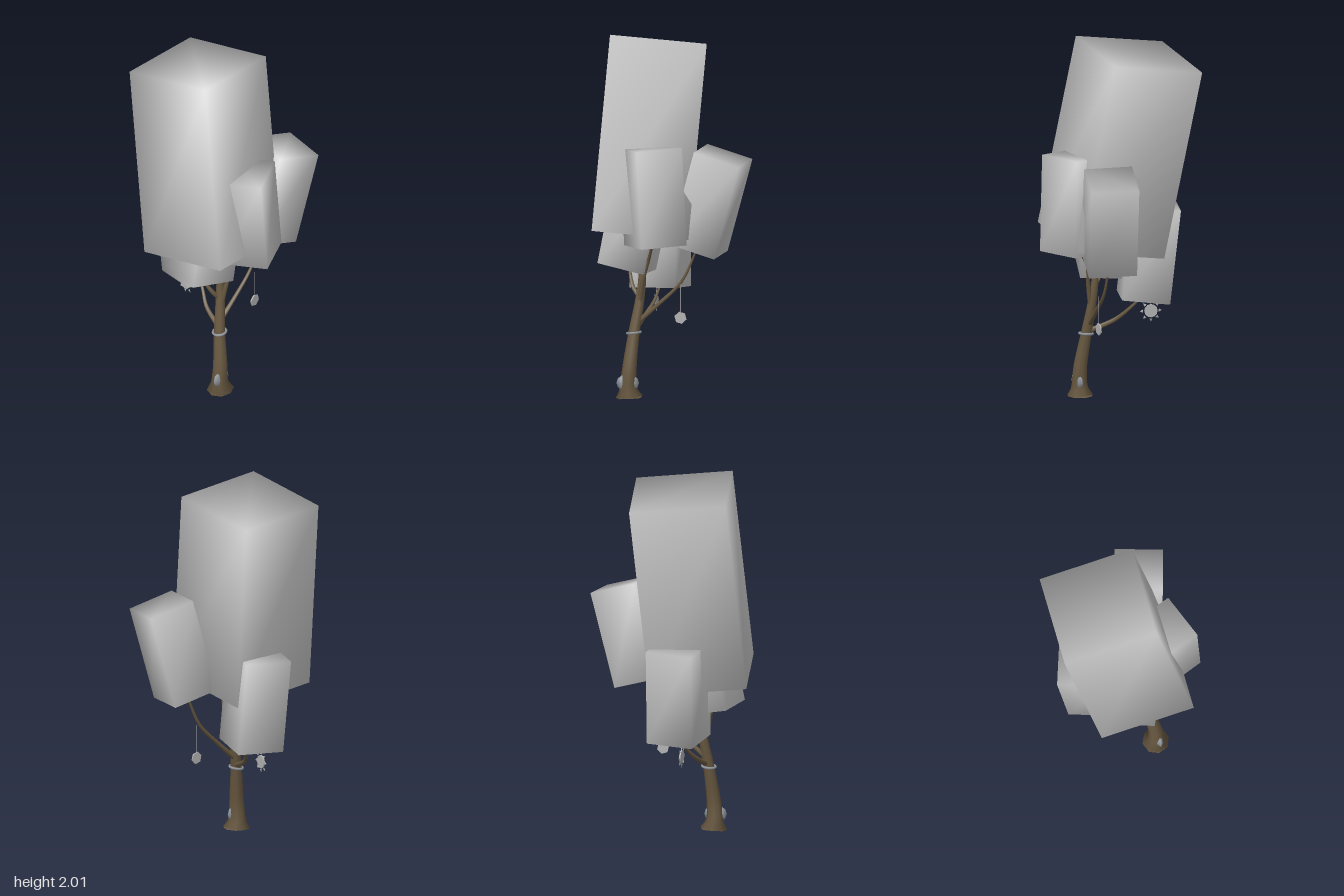
import * as THREE from 'three';
import { mergeVertices } from 'three/addons/utils/BufferGeometryUtils.js';

const mat = (name, color, side = THREE.FrontSide) => {
  const m = new THREE.MeshStandardMaterial({ color, side });
  m.name = name;
  return m;
};
const V = (p) => new THREE.Vector3(...p);

// Block with shared corners, so that the shading runs smoothly around it
function softBlock(w, h, d) {
  const g = new THREE.BoxGeometry(w, h, d);
  g.deleteAttribute('normal');
  g.deleteAttribute('uv');
  const m = mergeVertices(g);
  m.computeVertexNormals();
  return m;
}

// Tapered limb: a tube whose rings are scaled by the radii given along it
function limb(points, radii, sides, steps) {
  const path = new THREE.CatmullRomCurve3(points.map(V));
  const g = new THREE.TubeGeometry(path, steps, 1, sides);
  const pos = g.attributes.position, v = new THREE.Vector3();
  for (let i = 0; i <= steps; i++) {
    const t = i / steps, c = path.getPointAt(t);
    const f = path.getUtoTmapping(t) * (radii.length - 1);
    const k = Math.min(Math.floor(f), radii.length - 2);
    const r = THREE.MathUtils.lerp(radii[k], radii[k + 1], f - k);
    for (let j = 0; j <= sides; j++) {
      const n = i * (sides + 1) + j;
      v.fromBufferAttribute(pos, n).sub(c).multiplyScalar(r).add(c);
      pos.setXYZ(n, v.x, v.y, v.z);
    }
  }
  return g;
}

export function createModel() {
  const model = new THREE.Group();
  model.name = 'tree';
  const foliage = mat('foliageGrey', 0xcccccc);
  const bark = mat('bark', 0x6a5a42, THREE.DoubleSide);
  const stone = mat('stoneGrey', 0x8e949a);
  const charm = mat('charmGrey', 0xb4b4b4, THREE.DoubleSide);
  const add = (name, geometry, material, parent = model) => {
    const m = new THREE.Mesh(geometry, material);
    m.name = name;
    parent.add(m);
    return m;
  };

  // Foliage blocks: bottom centre, top centre, sideways direction, width
  const blocks = [
    ['crownFoliage', [-0.178, 0.88, 0.035], [-0.08, 1.935, -0.148], [0.53, -0.047, 0], 0.53],
    ['frontFoliage', [-0.09, 0.86, 0.235], [-0.117, 1.395, 0.21], [0.93, 0, -0.37], 0.265],
    ['leftFoliage', [0.142, 0.83, 0.13], [0.278, 1.347, 0.178], [0.255, -0.07, 0.07], 0.265],
    ['backFoliage', [-0.07, 0.562, -0.17], [-0.07, 1.085, -0.235], [0.95, 0, 0.31], 0.265],
    ['rightFoliage', [-0.245, 0.705, 0.0], [-0.145, 1.225, 0.01], [0.93, -0.18, 0.31], 0.265],
  ];
  for (const [name, bottom, top, side, w] of blocks) {
    const a = V(bottom), b = V(top);
    const up = b.clone().sub(a), h = up.length();
    up.normalize();
    const x = V(side).addScaledVector(up, -V(side).dot(up)).normalize();
    const m = add(name, softBlock(w, h, w), foliage);
    m.quaternion.setFromRotationMatrix(new THREE.Matrix4().makeBasis(x, up, x.clone().cross(up)));
    m.position.copy(a).add(b).multiplyScalar(0.5);
  }

  // Trunk with a flared foot
  add('trunk', limb(
    [[-0.235, 0.005, 0.135], [-0.24, 0.05, 0.135], [-0.235, 0.15, 0.135], [-0.21, 0.35, 0.11],
      [-0.18, 0.52, 0.09], [-0.165, 0.65, 0.078], [-0.17, 0.8, 0.07]],
    [0.074, 0.046, 0.04, 0.031, 0.026, 0.021, 0.016], 8, 24), bark);
  const foot = add('trunkFoot', new THREE.CircleGeometry(0.072, 8), bark);
  foot.rotation.x = Math.PI / 2;
  foot.position.set(-0.235, 0.004, 0.135);

  // Branches, each reaching into a foliage block
  const branches = [
    ['leftBranch', [[-0.18, 0.42, 0.1], [-0.08, 0.51, 0.11], [0.05, 0.64, 0.12], [0.145, 0.85, 0.13]]],
    ['backBranch', [[-0.2, 0.37, 0.1], [-0.15, 0.43, -0.03], [-0.1, 0.5, -0.1], [-0.065, 0.59, -0.18]]],
    ['frontBranch', [[-0.18, 0.5, 0.095], [-0.16, 0.65, 0.12], [-0.13, 0.76, 0.14], [-0.1, 0.89, 0.22]]],
    ['rightBranch', [[-0.18, 0.55, 0.085], [-0.215, 0.6, 0.06], [-0.23, 0.66, 0.02], [-0.24, 0.74, 0.0]]],
  ];
  for (const [name, pts] of branches)
    add(name, limb(pts, [0.015, 0.012, 0.009, 0.006], 6, 12), bark);

  // Band around the trunk and the stone at its foot
  const band = add('trunkBand', new THREE.TorusGeometry(0.037, 0.007, 6, 16), stone);
  band.position.set(-0.21, 0.355, 0.11);
  band.rotation.set(Math.PI / 2 - 0.1, 0.1, 0);
  const rock = add('footStone', new THREE.SphereGeometry(1, 8, 6), stone);
  rock.scale.set(0.062, 0.05, 0.022);
  rock.position.set(-0.243, 0.083, 0.147);

  // Hanging plate
  const hang = (name, top, bottom) => {
    const s = add(name, new THREE.CylinderGeometry(0.0015, 0.0015, top[1] - bottom[1], 4), charm);
    s.position.copy(V(top)).add(V(bottom)).multiplyScalar(0.5);
  };
  const plate = add('hangingPlate', new THREE.CylinderGeometry(0.034, 0.034, 0.008, 6), charm);
  plate.position.set(0.045, 0.445, 0.15);
  plate.rotation.set(Math.PI / 2, 0.25, 0);
  hang('plateString', [0.045, 0.63, 0.15], [0.045, 0.47, 0.15]);

  // Hanging sun: disc with a ring of small points
  const sun = new THREE.Group();
  sun.name = 'hangingSun';
  sun.position.set(-0.092, 0.475, -0.225);
  sun.rotation.set(0, Math.PI / 2 - 0.2, 0);
  model.add(sun);
  const disc = add('sunDisc', new THREE.CylinderGeometry(0.037, 0.037, 0.008, 12), charm, sun);
  disc.rotation.x = Math.PI / 2;
  for (let i = 0; i < 8; i++) {
    const a = (i / 8) * Math.PI * 2;
    const ray = add('sunRay', new THREE.ConeGeometry(0.01, 0.018, 4), charm, sun);
    ray.position.set(-Math.sin(a) * 0.053, Math.cos(a) * 0.053, 0);
    ray.rotation.z = a;
    ray.scale.z = 0.4;
  }
  hang('sunString', [-0.092, 0.58, -0.225], [-0.092, 0.51, -0.225]);

  return model;
}
